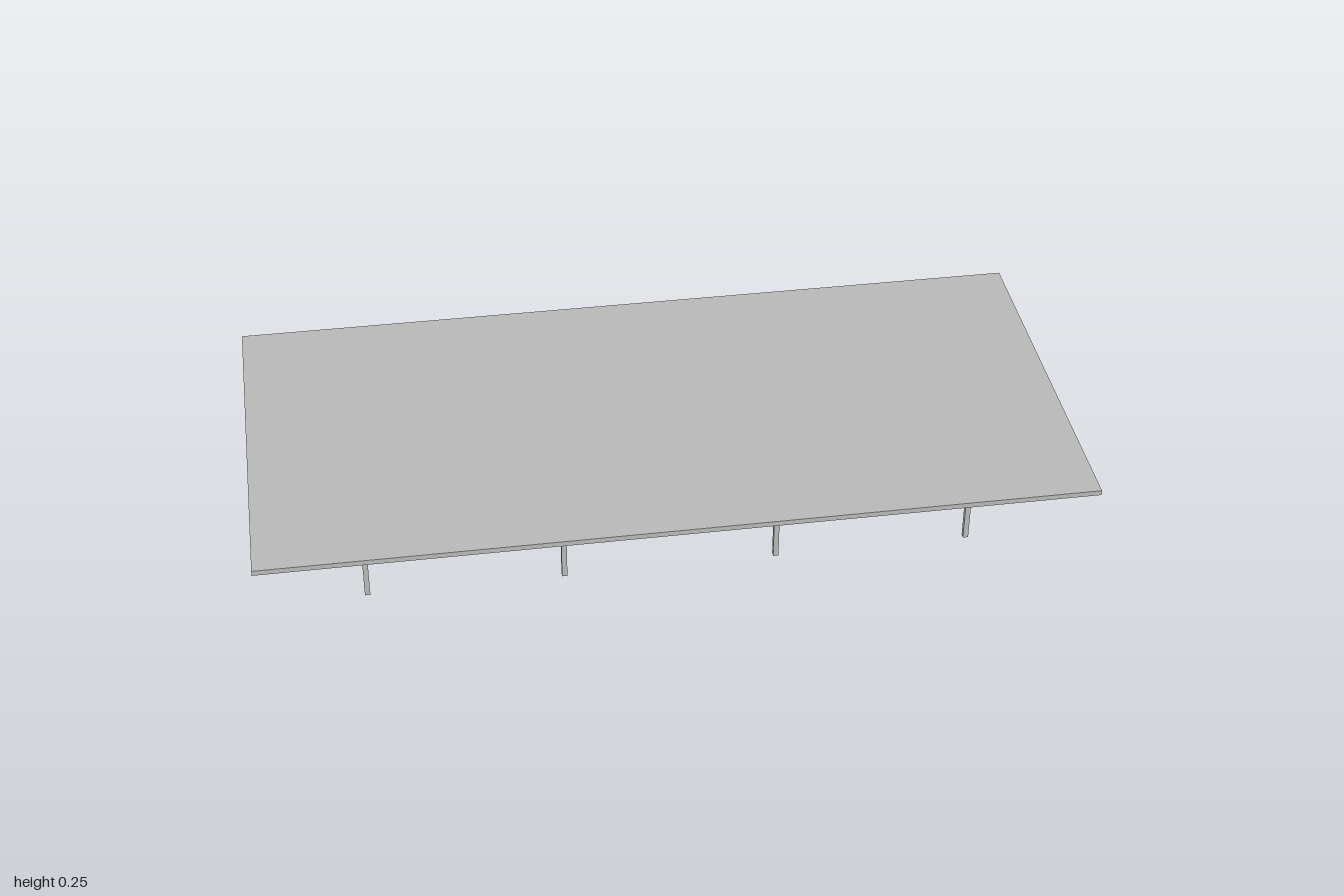
import * as THREE from 'three';

export function createModel() {
  const model = new THREE.Group();
  model.name = 'canopy';
  const grey = new THREE.MeshStandardMaterial({ color: 0xb8b8b8 });
  grey.name = 'concrete grey';

  const height = 0.255, thickness = 0.012, columnWidth = 0.012;
  const columnHeight = height - thickness;

  // Flat roof slab
  const roof = new THREE.Mesh(new THREE.BoxGeometry(1.834, thickness, 0.875), grey);
  roof.name = 'roofSlab';
  roof.position.y = height - thickness / 2;
  model.add(roof);

  // Two rows of four slim square columns
  const columnGeometry = new THREE.BoxGeometry(columnWidth, columnHeight, columnWidth);
  const columns = new THREE.Group();
  columns.name = 'columns';
  for (const z of [-0.24, 0.24]) {
    for (const x of [-0.68, -0.24, 0.24, 0.68]) {
      const column = new THREE.Mesh(columnGeometry, grey);
      column.name = 'column';
      column.position.set(x, columnHeight / 2, z);
      columns.add(column);
    }
  }
  model.add(columns);

  // The whole structure is turned in plan
  model.rotation.y = -Math.PI / 12;
  return model;
}
